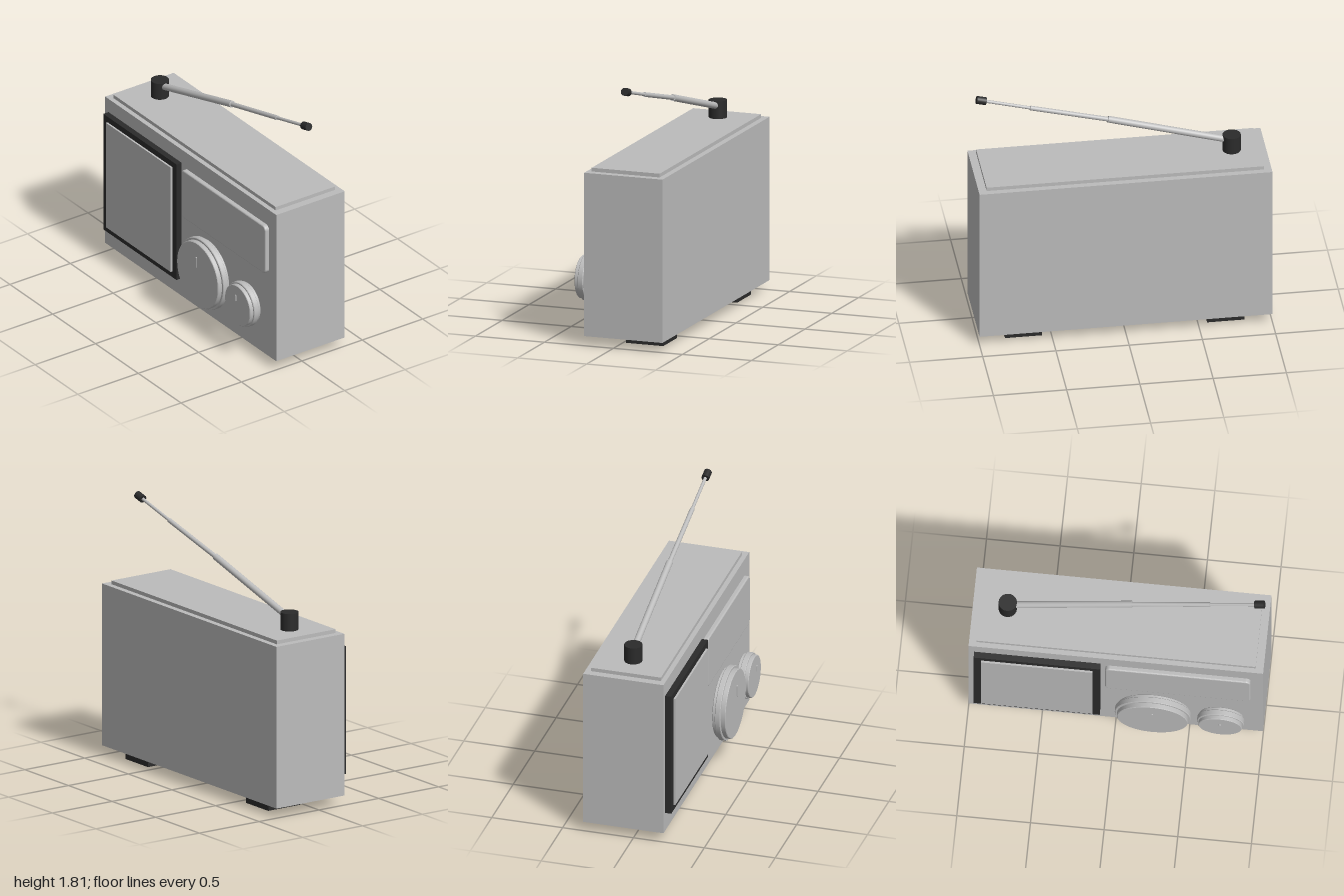
import * as THREE from 'three';

const silver = new THREE.MeshStandardMaterial({ color: 0xbcbcbc });
silver.name = 'silver';
const black = new THREE.MeshStandardMaterial({ color: 0x2b2b2b });
black.name = 'black';

export function createModel() {
  const model = new THREE.Group();
  model.name = 'portableRadio';

  function add(name, geometry, material) {
    const mesh = new THREE.Mesh(geometry, material);
    mesh.name = name;
    model.add(mesh);
    return mesh;
  }

  // Box given by its lower and upper limits on each axis
  function box(name, [x0, x1], [y0, y1], [z0, z1], material) {
    const mesh = add(name, new THREE.BoxGeometry(x1 - x0, y1 - y0, z1 - z0), material);
    mesh.position.set((x0 + x1) / 2, (y0 + y1) / 2, (z0 + z1) / 2);
    return mesh;
  }

  // Cylinder running between two points
  function rod(name, from, to, radius, material) {
    const a = new THREE.Vector3(...from), b = new THREE.Vector3(...to);
    const mesh = add(name, new THREE.CylinderGeometry(radius, radius, a.distanceTo(b), 24), material);
    mesh.position.copy(a).lerp(b, 0.5);
    mesh.quaternion.setFromUnitVectors(new THREE.Vector3(0, 1, 0), b.sub(a).normalize());
    return mesh;
  }

  function roundedRect(w, h, r) {
    const s = new THREE.Shape();
    const x = w / 2, y = h / 2;
    s.absarc(x - r, y - r, r, 0, Math.PI / 2);
    s.absarc(-x + r, y - r, r, Math.PI / 2, Math.PI);
    s.absarc(-x + r, -y + r, r, Math.PI, Math.PI * 1.5);
    s.absarc(x - r, -y + r, r, Math.PI * 1.5, Math.PI * 2);
    s.closePath();
    return s;
  }

  // Case, raised top panel and feet
  box('case', [-1, 1], [0.067, 1.2], [-0.355, 0.212], silver);
  box('topPanel', [-0.948, 0.946], [1.2, 1.226], [-0.314, 0.178], silver);
  for (const side of [-1, 1]) {
    box(side < 0 ? 'rightFoot' : 'leftFoot',
      [side * 0.69 - 0.127, side * 0.69 + 0.127], [0, 0.067], [-0.29, -0.02], black);
  }

  // Speaker frame with an opening, and the speaker panel inside it
  const frame = new THREE.Shape([
    [-0.961, 0.203], [-0.105, 0.203], [-0.105, 1.098], [-0.961, 1.098],
  ].map(p => new THREE.Vector2(...p)));
  frame.holes.push(new THREE.Path([
    [-0.911, 0.247], [-0.911, 1.056], [-0.153, 1.056], [-0.153, 0.247],
  ].map(p => new THREE.Vector2(...p))));
  add('speakerFrame', new THREE.ExtrudeGeometry(frame, { depth: 0.043, bevelEnabled: false }), black)
    .position.z = 0.212;
  box('speakerPanel', [-0.911, -0.153], [0.247, 1.056], [0.212, 0.269], silver);

  // Tuning display with softened front edges
  const display = add('display', new THREE.ExtrudeGeometry(roundedRect(0.967, 0.347, 0.025), {
    depth: 0.022, bevelThickness: 0.01, bevelSize: 0.01, bevelSegments: 4, curveSegments: 8,
  }), silver);
  display.position.set(0.423, 0.893, 0.212);

  // Knobs: a turned drum with a wider band, and a small pointer ahead of it
  function knob(name, x, y, inner, outer, front, pointer) {
    const c = 0.004;
    const profile = [
      [0, 0.246], [inner - c, 0.246], [inner, 0.25], [inner, 0.269], [outer - c, 0.269],
      [outer, 0.273], [outer, 0.304], [outer - c, 0.308], [inner, 0.308],
      [inner, front - c], [inner - c, front], [0, front],
    ];
    // Each profile step is its own band, so edges between steps stay sharp
    const group = new THREE.Group();
    group.name = name;
    for (let i = 0; i < profile.length - 1; i++) {
      const pts = [profile[i], profile[i + 1]].map(p => new THREE.Vector2(...p));
      const band = new THREE.Mesh(new THREE.LatheGeometry(pts, 64), silver);
      band.name = name + 'Band';
      band.rotation.x = Math.PI / 2;
      group.add(band);
    }
    const mark = new THREE.Mesh(new THREE.ExtrudeGeometry(
      roundedRect(0.016, pointer.h, 0.006), { depth: 0.006, bevelEnabled: false }), silver);
    mark.name = name + 'Pointer';
    mark.position.set(0, pointer.y - y, 0.349);
    group.add(mark);
    group.position.set(x, y, 0);
    model.add(group);
  }
  knob('tuningKnob', 0.26, 0.436, 0.241, 0.258, 0.34, { y: 0.538, h: 0.082 });
  knob('volumeKnob', 0.72, 0.41, 0.148, 0.16, 0.335, { y: 0.474, h: 0.048 });

  // Telescopic antenna on a round pivot
  const z = -0.073;
  rod('antennaPivot', [-0.762, 1.226, z], [-0.762, 1.348, z], 0.062, black);
  rod('antennaLowerTube', [-0.762, 1.303, z], [0.083, 1.546, z], 0.023, silver);
  rod('antennaMiddleTube', [0.07, 1.542, z], [0.613, 1.683, z], 0.016, silver);
  rod('antennaUpperTube', [0.6, 1.68, z], [0.93, 1.768, z], 0.011, silver);
  rod('antennaTip', [0.916, 1.764, z], [0.98, 1.781, z], 0.027, black);

  return model;
}
